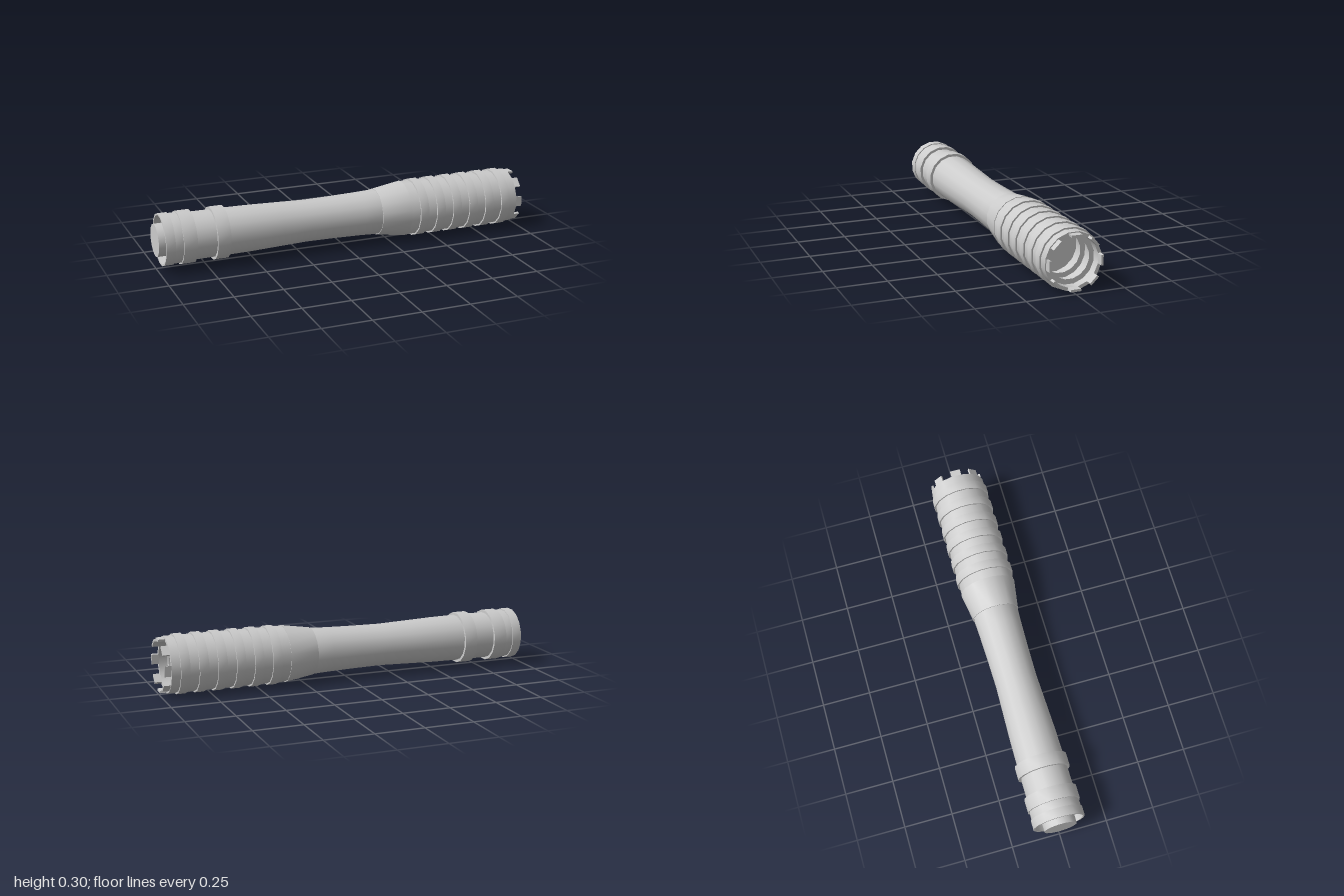
import * as THREE from 'three';
import { toCreasedNormals } from 'three/addons/utils/BufferGeometryUtils.js';

const SIDES = 16;
const HALF = Math.PI / SIDES;
const FLAT = 1 / Math.cos(HALF); // flat-to-centre distance -> corner radius
const material = new THREE.MeshStandardMaterial({ color: 0xcccccc });

// Revolve [x, radius] pairs around the x axis, with flats facing up and sideways
function turned(name, profile) {
  const points = profile.map(([x, r]) => new THREE.Vector2(r * FLAT, x));
  let geometry = new THREE.LatheGeometry(points, SIDES, HALF);
  geometry.rotateZ(-Math.PI / 2);
  geometry = toCreasedNormals(geometry, 0.5);
  const mesh = new THREE.Mesh(geometry, material);
  mesh.name = name;
  return mesh;
}

// Raised band around the handle
function band(name, x0, x1, r) {
  return turned(name, [[x0, 0.1], [x0, r], [x1, r], [x1, 0.1]]);
}

// One crown tooth: a single side of the tube, extruded along x
function tooth(angle, inner, outer, x0, x1) {
  const shape = new THREE.Shape([
    [outer, -HALF], [outer, HALF], [inner, HALF], [inner, -HALF],
  ].map(([r, a]) => new THREE.Vector2(
    r * FLAT * Math.cos(angle + a), r * FLAT * Math.sin(angle + a))));
  const geometry = new THREE.ExtrudeGeometry(shape, { depth: x1 - x0, bevelEnabled: false });
  geometry.rotateY(Math.PI / 2);
  geometry.translate(x0, 0, 0);
  const mesh = new THREE.Mesh(geometry, material);
  mesh.name = 'crownTooth';
  return mesh;
}

export function createModel() {
  const model = new THREE.Group();
  model.name = 'handle';
  const body = new THREE.Group();
  body.name = 'body';
  body.position.y = 0.15;
  model.add(body);

  // Pommel: hollow rim with a plug standing out of it
  body.add(turned('pommelRim', [
    [-0.93, 0], [-0.93, 0.12], [-0.975, 0.123], [-0.975, 0.132],
    [-0.927, 0.132], [-0.927, 0.1],
  ]));
  body.add(turned('pommelPlug', [[-1, 0], [-1, 0.083], [-0.92, 0.083]]));
  body.add(band('pommelCollar', -0.927, -0.885, 0.127));
  body.add(band('rearBand', -0.885, -0.815, 0.134));
  body.add(band('gripBand', -0.71, -0.642, 0.134));

  // Waisted grip
  body.add(turned('grip', [
    [-0.89, 0.121], [-0.64, 0.12], [-0.5, 0.118], [-0.35, 0.113], [-0.2, 0.108],
    [-0.05, 0.11], [0.1, 0.114], [0.19, 0.118],
  ]));

  // Flared neck and open-ended head
  body.add(turned('neck', [[0.19, 0.1], [0.19, 0.121], [0.345, 0.145], [0.345, 0.12]]));
  body.add(turned('head', [
    [0.345, 0.1], [0.345, 0.142], [0.965, 0.142], [0.965, 0.125], [0.69, 0.125], [0.69, 0],
  ]));

  // Ribs around the head
  for (let i = 0; i < 6; i++) {
    const x = 0.395 + i * 0.0955;
    body.add(band('headRib', x, x + 0.047, 0.15));
  }

  // Crown of eight teeth
  const crown = new THREE.Group();
  crown.name = 'crown';
  for (let i = 0; i < 8; i++) crown.add(tooth(i * Math.PI / 4, 0.125, 0.137, 0.963, 1));
  body.add(crown);

  return model;
}
